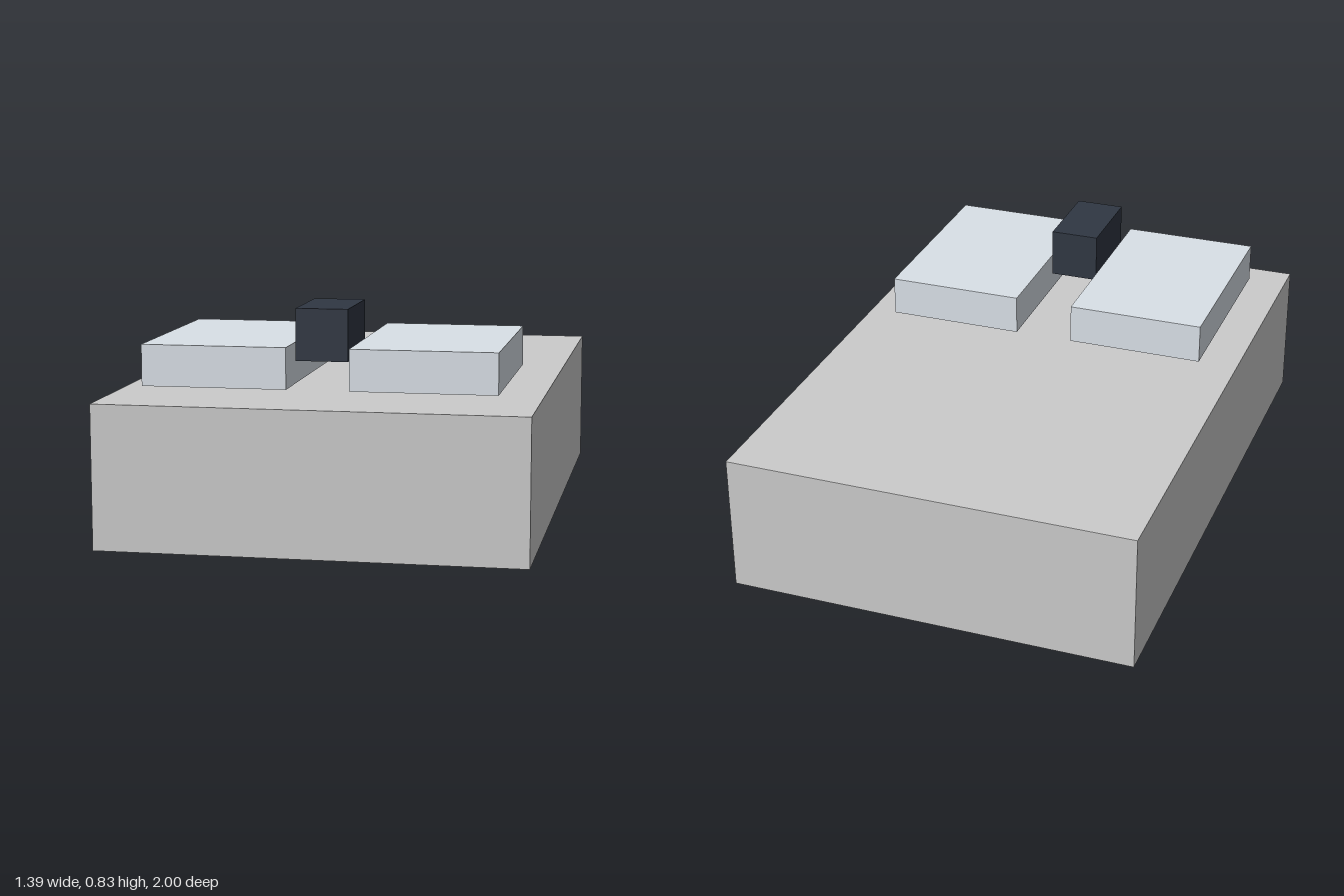
import * as THREE from 'three';

// Adds a box given its extents along each axis.
function addBox(group, name, color, [x0, x1], [y0, y1], [z0, z1]) {
  const mesh = new THREE.Mesh(
    new THREE.BoxGeometry(x1 - x0, y1 - y0, z1 - z0),
    new THREE.MeshStandardMaterial({ color })
  );
  mesh.name = name;
  mesh.position.set((x0 + x1) / 2, (y0 + y1) / 2, (z0 + z1) / 2);
  group.add(mesh);
}

export function createModel() {
  const model = new THREE.Group();
  model.name = 'blockAssembly';

  // Main slab
  addBox(model, 'body', 0xf5f6f8, [-0.697, 0.697], [0.069, 0.542], [-1, 1]);

  // Blue pad under the rear of the slab
  addBox(model, 'bottomPad', 0x4c8bdc, [-0.204, 0.204], [0, 0.069], [-0.78, -0.44]);

  // Pair of plates floating above the front half
  const plateY = [0.578, 0.713], plateZ = [0.118, 0.832];
  addBox(model, 'leftPlate', 0xdae1e8, [0.102, 0.576], plateY, plateZ);
  addBox(model, 'rightPlate', 0xdae1e8, [-0.576, -0.102], plateY, plateZ);

  // Dark block between the plates
  addBox(model, 'centreBlock', 0x303743, [-0.085, 0.085], [0.662, 0.831], [0.458, 0.762]);

  return model;
}
